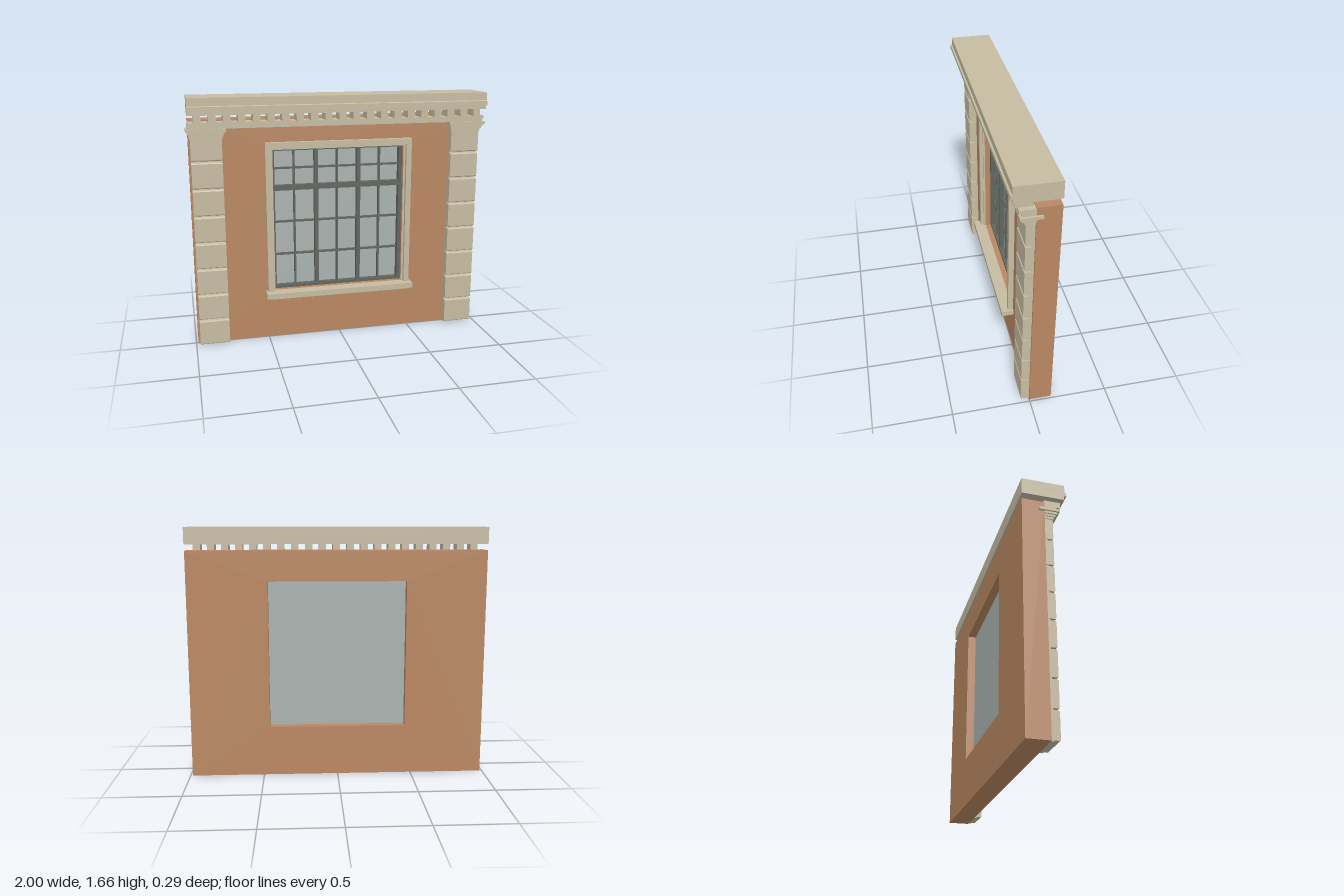
import * as THREE from 'three';

const material = (name, color) => {
  const m = new THREE.MeshStandardMaterial({ color });
  m.name = name;
  return m;
};

export function createModel() {
  const model = new THREE.Group();
  model.name = 'facadeBay';
  const stone = material('stone', 0xc6bca2);
  const render = material('terracottaRender', 0xb98862);
  const metal = material('windowMetal', 0x62655f);
  const pane = material('glass', 0xaab3b0);

  const group = (name, parent = model) => {
    const g = new THREE.Group();
    g.name = name;
    parent.add(g);
    return g;
  };
  const add = (name, geometry, mat, parent) => {
    const mesh = new THREE.Mesh(geometry, mat);
    mesh.name = name;
    parent.add(mesh);
    return mesh;
  };
  // Box given by its limits on each axis
  const box = (name, [x0, x1], [y0, y1], [z0, z1], mat, parent) => {
    const g = new THREE.BoxGeometry(x1 - x0, y1 - y0, z1 - z0);
    g.translate((x0 + x1) / 2, (y0 + y1) / 2, (z0 + z1) / 2);
    return add(name, g, mat, parent);
  };
  // Profile of [z, y] points swept along x
  const sweep = (name, points, [x0, x1], mat, parent) => {
    const shape = new THREE.Shape(points.map(([z, y]) => new THREE.Vector2(-z, y)));
    const g = new THREE.ExtrudeGeometry(shape, { depth: x1 - x0, bevelEnabled: false });
    g.rotateY(Math.PI / 2).translate(x0, 0, 0);
    return add(name, g, mat, parent);
  };
  const rect = (Type, x, y0, y1) => new Type([[-x, y0], [x, y0], [x, y1], [-x, y1]]
    .map(([a, b]) => new THREE.Vector2(a, b)));
  // Rectangular plate with a rectangular hole, both symmetric in x
  const ring = (name, [x, y0, y1], [hx, hy0, hy1], [z0, z1], mat, parent) => {
    const shape = rect(THREE.Shape, x, y0, y1);
    shape.holes.push(rect(THREE.Path, hx, hy0, hy1));
    const g = new THREE.ExtrudeGeometry(shape, { depth: z1 - z0, bevelEnabled: false });
    g.translate(0, 0, z0);
    return add(name, g, mat, parent);
  };

  // Wall with window opening
  ring('wall', [0.985, 0, 1.515], [0.456, 0.335, 1.315], [-0.142, 0], render, model);

  // Window: glass, frame and glazing bars
  const win = group('window');
  box('glass', [-0.456, 0.456], [0.335, 1.315], [-0.086, -0.078], pane, win);
  ring('windowFrame', [0.456, 0.335, 1.315], [0.433, 0.355, 1.295], [-0.078, -0.04], metal, win);
  for (const x of [-0.148, 0.148])
    box('mullion', [x - 0.013, x + 0.013], [0.35, 1.3], [-0.078, -0.043], metal, win);
  box('transom', [-0.44, 0.44], [1.025, 1.06], [-0.078, -0.041], metal, win);
  for (const x of [-0.298, 0, 0.298])
    box('verticalBar', [x - 0.006, x + 0.006], [0.35, 1.3], [-0.078, -0.055], metal, win);
  for (const y of [0.575, 0.805, 1.175])
    box('horizontalBar', [-0.44, 0.44], [y - 0.006, y + 0.006], [-0.078, -0.056], metal, win);

  // Window casing: three-sided surround with an inner step, then the sill
  const casing = group('windowCasing');
  const surround = (name, x, y, w, z) => {
    const g = new THREE.ExtrudeGeometry(new THREE.Shape([
      [-x, 0.338], [-x + w, 0.338], [-x + w, y - w], [x - w, y - w],
      [x - w, 0.338], [x, 0.338], [x, y], [-x, y],
    ].map(([a, b]) => new THREE.Vector2(a, b))), { depth: z, bevelEnabled: false });
    add(name, g, stone, casing);
  };
  surround('outerCasing', 0.5, 1.36, 0.037, 0.035);
  surround('innerCasing', 0.463, 1.323, 0.013, 0.012);
  box('sill', [-0.515, 0.515], [0.302, 0.338], [0, 0.08], stone, casing);
  box('sillMoulding', [-0.485, 0.485], [0.287, 0.302], [0, 0.05], stone, casing);

  // Rusticated pilasters with stepped capitals
  for (const side of [-1, 1]) {
    const p = group(side > 0 ? 'leftPilaster' : 'rightPilaster');
    const c = side * 0.874;
    const span = (h) => [c - h, c + h];
    box('pilasterCore', span(0.097), [0, 1.41], [0, 0.018], stone, p);
    for (let i = 0; i < 8; i++) {
      const y0 = i * 0.179 + 0.006, y1 = i === 7 ? 1.41 : (i + 1) * 0.179 - 0.004;
      const f = 0.054, r = 0.008;
      sweep('pilasterBlock', [[0, y0], [f - r, y0], [f - 0.002, y0 + 0.003], [f, y0 + r],
        [f, y1 - r], [f - 0.002, y1 - 0.003], [f - r, y1], [0, y1]], span(0.099), stone, p);
    }
    const steps = [[0.104, 1.402, 1.418, 0.06], [0.11, 1.418, 1.433, 0.068],
      [0.117, 1.433, 1.449, 0.08]];
    for (const [h, y0, y1, z] of steps)
      box('capitalStep', span(h), [y0, y1], [-0.002, z], stone, p);
    box('capitalSlab', span(0.126), [1.449, 1.467], [-0.037, 0.092], stone, p);
  }

  // Entablature: bed mouldings, dentils and cornice
  const top = group('entablature');
  sweep('bedMoulding', [[0, 1.467], [0.078, 1.467], [0.078, 1.488], [0.096, 1.488],
    [0.096, 1.508], [0, 1.508]], [-0.985, 0.985], stone, top);
  for (let i = -10; i <= 10; i++) {
    const x = i * 0.0928;
    box('dentil', [x - 0.024, x + 0.024], [1.508, 1.556], [0.008, 0.112], stone, top);
  }
  sweep('cornice', [[-0.142, 1.556], [0.128, 1.556], [0.128, 1.584], [0.143, 1.584],
    [0.143, 1.61], [0.132, 1.614], [0.132, 1.665], [-0.142, 1.665]],
    [-0.987, 0.987], stone, top);

  return model;
}
